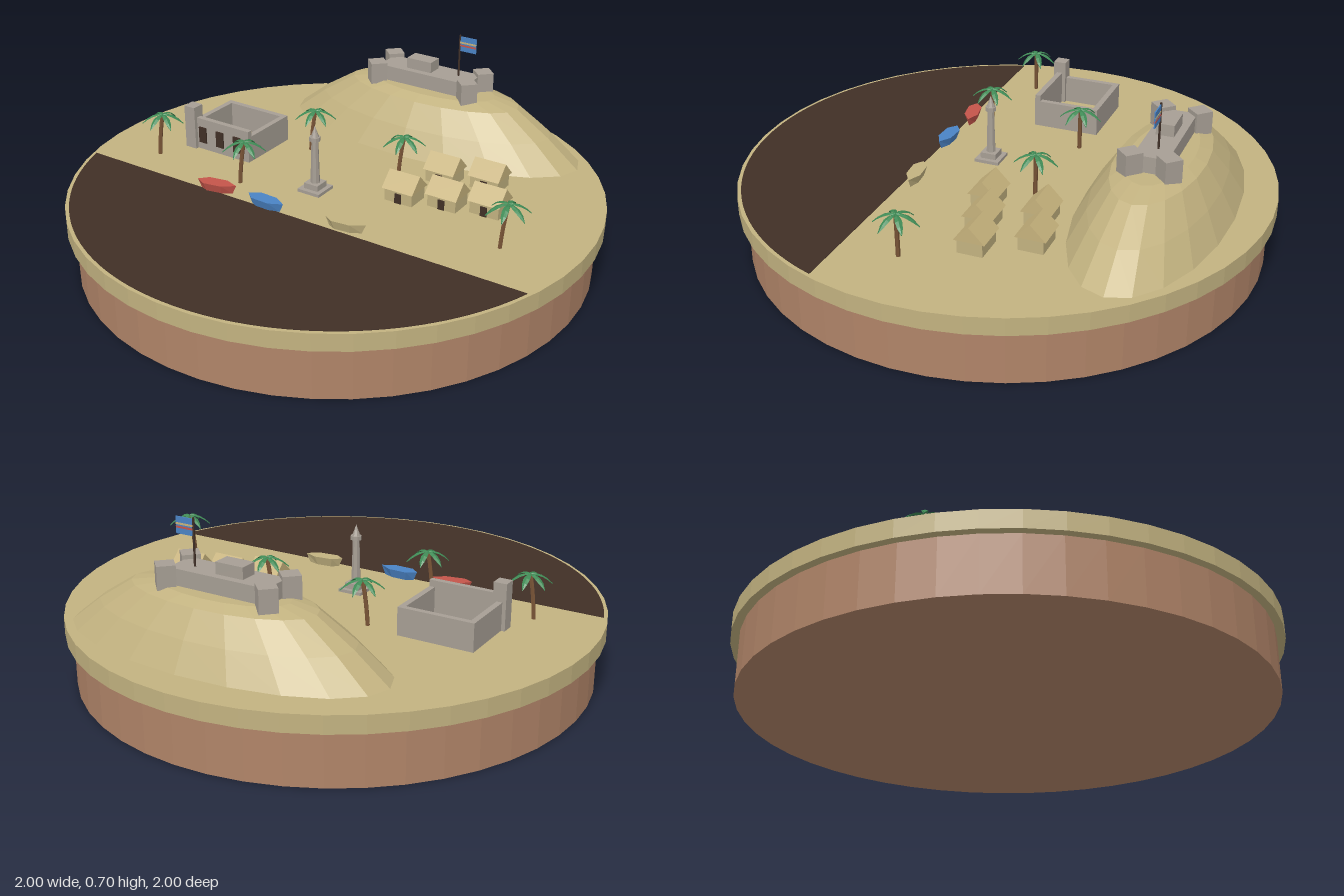
import * as THREE from 'three';

const GROUND = 0.265;
const TILT = -0.38; // everything follows the slanted shoreline

const mat = (name, color, side = THREE.FrontSide) => {
  const m = new THREE.MeshStandardMaterial({ color, flatShading: true, side });
  m.name = name;
  return m;
};

export function createModel() {
  const M = {
    sand: mat('sand', 0xc2b280),
    earth: mat('earth', 0xb08468),
    dark: mat('dark brown', 0x402f26),
    stone: mat('stone', 0xa69e94),
    thatch: mat('thatch', 0xc6b27c),
    trunk: mat('trunk', 0x7a5537),
    leaf: mat('leaf', 0x3f8a55, THREE.DoubleSide),
    red: mat('red', 0xc4554a),
    blue: mat('blue', 0x4a83c4),
  };
  const root = new THREE.Group();
  root.name = 'islandDiorama';

  const add = (parent, name, geo, material, x = 0, y = 0, z = 0) => {
    const m = new THREE.Mesh(geo, material);
    m.name = name;
    m.position.set(x, y, z);
    parent.add(m);
    return m;
  };
  // box standing on height y
  const box = (parent, name, material, w, h, d, x, y, z) =>
    add(parent, name, new THREE.BoxGeometry(w, h, d), material, x, y + h / 2, z);
  const place = (name, x, z, y = GROUND, turn = TILT) => {
    const g = new THREE.Group();
    g.name = name;
    g.position.set(x, y, z);
    g.rotation.y = turn;
    root.add(g);
    return g;
  };

  // round base and ground slab
  add(root, 'earthBase', new THREE.CylinderGeometry(0.97, 0.97, 0.2, 48), M.earth, 0, 0.1, 0);
  add(root, 'sandSlab', new THREE.CylinderGeometry(1, 1, 0.065, 48), M.sand, 0, 0.2325, 0);

  // bay: circle segment cut off by the shoreline
  const bayR = 0.985, a = Math.asin(0.305 / bayR);
  const bayShape = new THREE.Shape().absarc(0, 0, bayR, Math.PI + a, 2 * Math.PI - a, false);
  const bayGeo = new THREE.ExtrudeGeometry(bayShape, { depth: 0.003, bevelEnabled: false, curveSegments: 32 });
  add(place('bay', 0, 0, GROUND - 0.001), 'baySurface', bayGeo.rotateX(-Math.PI / 2), M.dark);

  // faceted oval hill
  const hill = place('hill', 0.29, -0.54);
  const profile = [[1, 0], [0.8, 0.1], [0.58, 0.19], [0.42, 0.21], [0, 0.21]];
  const hillGeo = new THREE.LatheGeometry(profile.map(p => new THREE.Vector2(...p)), 20);
  add(hill, 'hillMound', hillGeo.scale(0.64, 1, 0.27), M.sand);

  // hilltop fort with four diagonal bastions
  const fort = place('hillFort', 0.27, -0.55, 0.465);
  box(fort, 'fortBody', M.stone, 0.4, 0.07, 0.12, 0, 0, 0);
  box(fort, 'fortKeep', M.stone, 0.11, 0.045, 0.065, -0.033, 0.068, 0);
  for (const sx of [-1, 1]) for (const sz of [-1, 1]) {
    box(fort, 'bastion', M.stone, 0.065, 0.085, 0.065, sx * 0.205, 0, sz * 0.068).rotation.y = Math.PI / 4;
  }

  // flag with stripes
  const flag = place('flag', 0.39, -0.51, 0.53);
  add(flag, 'flagPole', new THREE.CylinderGeometry(0.004, 0.004, 0.175, 6), M.dark, 0, 0.0875, 0);
  box(flag, 'flagCloth', M.blue, 0.07, 0.06, 0.004, 0.037, 0.11, 0);
  box(flag, 'flagStripe', M.thatch, 0.07, 0.007, 0.006, 0.037, 0.142, 0);
  box(flag, 'flagStripe', M.red, 0.07, 0.007, 0.006, 0.037, 0.13, 0);

  // walled courtyard with a corner tower
  const court = place('courtyard', -0.455, -0.28);
  box(court, 'frontWall', M.stone, 0.29, 0.13, 0.022, 0, 0, 0.119);
  box(court, 'backWall', M.stone, 0.29, 0.105, 0.022, 0, 0, -0.119);
  for (const s of [-1, 1]) box(court, 'sideWall', M.stone, 0.022, 0.105, 0.22, s * 0.134, 0, 0);
  box(court, 'cornerTower', M.stone, 0.05, 0.175, 0.05, -0.134, 0, 0.119);
  for (const x of [-0.08, 0.005, 0.09]) {
    box(court, 'wallOpening', M.dark, 0.035, 0.065, 0.008, x, 0.03, 0.132);
  }

  // houses: block, gabled roof, door
  const gable = new THREE.Shape([[-0.056, 0], [0.056, 0], [0, 0.056]].map(p => new THREE.Vector2(...p)));
  const roofGeo = new THREE.ExtrudeGeometry(gable, { depth: 0.128, bevelEnabled: false })
    .translate(0, 0, -0.064).rotateY(Math.PI / 2);
  for (const [x, z] of [[0.395, -0.12], [0.565, -0.1], [0.27, 0.065], [0.43, 0.08], [0.585, 0.1]]) {
    const house = place('house', x, z);
    box(house, 'houseWalls', M.sand, 0.115, 0.052, 0.092, 0, 0, 0);
    add(house, 'houseRoof', roofGeo, M.thatch, 0, 0.05, 0);
    box(house, 'houseDoor', M.dark, 0.026, 0.038, 0.006, 0, 0, 0.047);
  }

  // monument column on a stepped plinth
  const col = place('monument', -0.065, 0.065);
  box(col, 'plinthStep', M.stone, 0.095, 0.012, 0.095, 0, 0, 0);
  box(col, 'plinth', M.stone, 0.06, 0.022, 0.06, 0, 0.012, 0);
  add(col, 'columnShaft', new THREE.CylinderGeometry(0.013, 0.018, 0.17, 8), M.stone, 0, 0.119, 0);
  add(col, 'columnCapital', new THREE.CylinderGeometry(0.021, 0.021, 0.016, 8), M.stone, 0, 0.21, 0);
  add(col, 'columnTip', new THREE.ConeGeometry(0.017, 0.045, 8), M.stone, 0, 0.238, 0);

  // palm frond: tapered, folded strip that droops outward
  const frondGeo = new THREE.PlaneGeometry(0.08, 1, 4, 2).rotateX(-Math.PI / 2).translate(0.04, 0, 0);
  const fp = frondGeo.attributes.position;
  for (let i = 0; i < fp.count; i++) {
    const x = fp.getX(i), t = x / 0.08, side = fp.getZ(i) * 2;
    const w = 0.003 + 0.009 * Math.sin(Math.PI * Math.min(1, t));
    fp.setXYZ(i, x, 0.012 * t - 0.05 * t * t - Math.abs(side) * 0.004, side * w * (t > 0.99 ? 0.2 : 1));
  }
  const palms = [[-0.715, -0.115], [-0.14, -0.275], [-0.335, 0.065], [0.24, -0.1], [0.665, 0.355]];
  palms.forEach(([x, z], i) => {
    const palm = place('palm', x, z, GROUND, 0);
    const path = new THREE.QuadraticBezierCurve3(
      new THREE.Vector3(-0.02, 0, 0), new THREE.Vector3(-0.014, 0.1, 0), new THREE.Vector3(0, 0.17, 0));
    add(palm, 'palmTrunk', new THREE.TubeGeometry(path, 4, 0.008, 6), M.trunk);
    for (let k = 0; k < 6; k++) {
      add(palm, 'palmFrond', frondGeo, M.leaf, 0, 0.172, 0).rotation.y = k * Math.PI / 3 + 0.2 + i * 0.03;
    }
  });

  // boats: pointed hulls flaring upward
  const hullOutline = [[0.08, 0], [0.03, 0.027], [-0.045, 0.027], [-0.08, 0], [-0.045, -0.027], [0.03, -0.027]];
  const hullGeo = new THREE.ExtrudeGeometry(
    new THREE.Shape(hullOutline.map(p => new THREE.Vector2(...p))), { depth: 0.035, bevelEnabled: false },
  ).rotateX(-Math.PI / 2);
  const hp = hullGeo.attributes.position;
  for (let i = 0; i < hp.count; i++) {
    if (hp.getY(i) < 0.01) hp.setXYZ(i, hp.getX(i) * 0.8, 0, hp.getZ(i) * 0.6);
  }
  for (const [x, z, turn, m] of [[-0.42, 0.147, -0.2, M.red], [-0.21, 0.235, -0.42, M.blue], [0.105, 0.337, -0.28, M.sand]]) {
    add(place('boat', x, z, GROUND, turn), 'boatHull', hullGeo, m);
  }

  return root;
}
